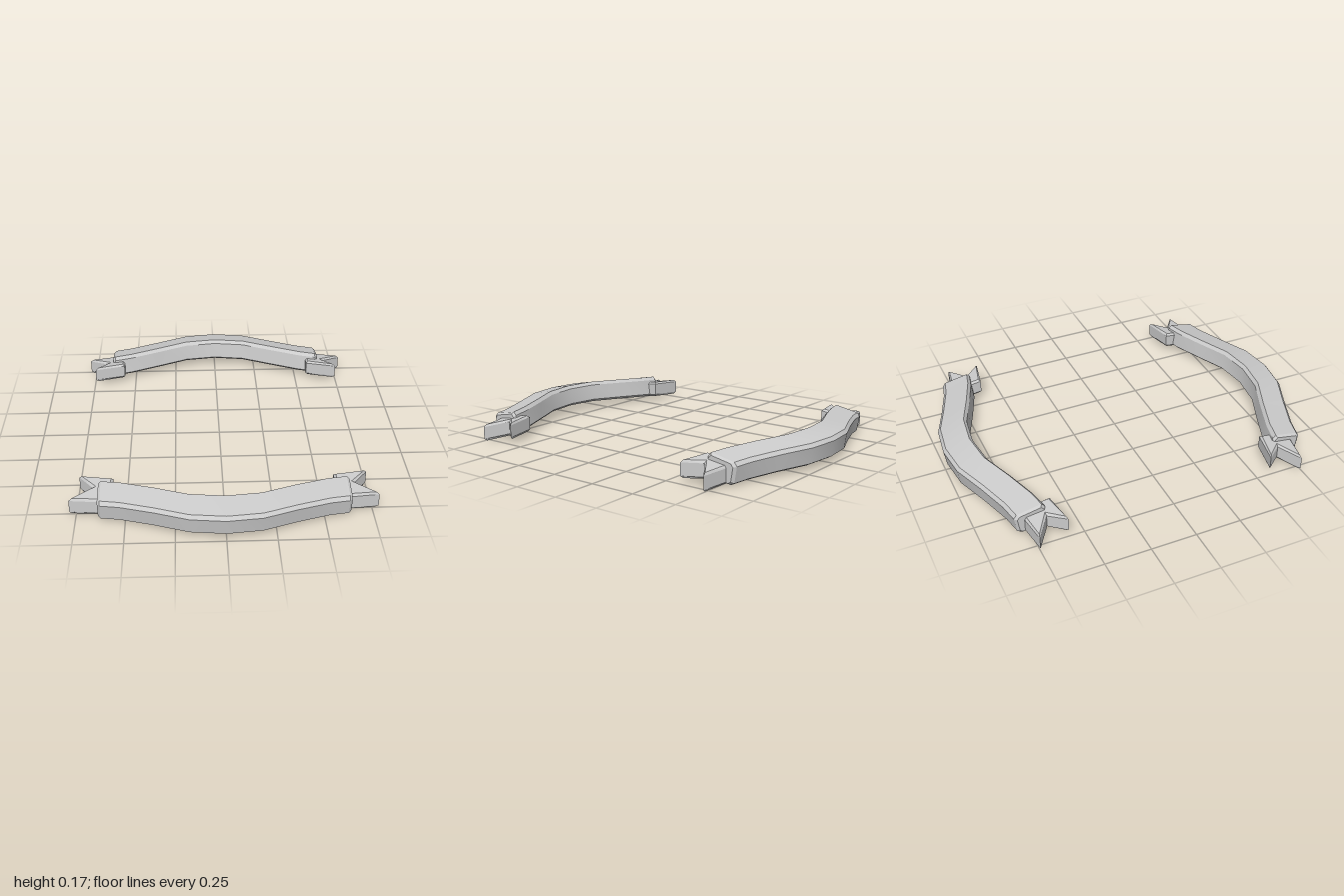
import * as THREE from 'three';
import { toCreasedNormals } from 'three/addons/utils/BufferGeometryUtils.js';

const material = new THREE.MeshStandardMaterial({ color: 0xcccccc });

// Chamfered, outward-tilted cross-section as [z, y], at the middle of the ribbon
const SECTION = [
  [0.985, 0.142], [1.0, 0.122], [0.986, 0.037], [0.967, 0.026],
  [0.84, 0.045], [0.822, 0.06], [0.835, 0.15], [0.852, 0.168],
];
const CENTRE = [0.912, 0.096];

// Half of the sweep: [x, shift in z, drop in y, section scale]
const HALF = [
  [0, 0, 0, 1], [0.18, -0.022, 0.002, 1], [0.355, -0.092, 0.008, 1],
  [0.525, -0.153, 0.016, 1], [0.624, -0.175, 0.021, 1], [0.637, -0.177, 0.022, 0.86],
];

// Wavy band swept through the stations, with chamfered ends
function bandGeometry() {
  const stations = [
    ...HALF.slice(1).reverse().map(([x, ...rest]) => [-x, ...rest]),
    ...HALF,
  ];
  const n = SECTION.length, positions = [], index = [];
  for (const [x, dz, drop, s] of stations) {
    for (const [z, y] of SECTION) {
      positions.push(x, CENTRE[1] + (y - CENTRE[1]) * s - drop, CENTRE[0] + (z - CENTRE[0]) * s + dz);
    }
  }
  for (let i = 0; i < stations.length - 1; i++) {
    for (let k = 0; k < n; k++) {
      const a = i * n + k, b = i * n + (k + 1) % n;
      index.push(a, b, b + n, a, b + n, a + n);
    }
  }
  const last = (stations.length - 1) * n;
  for (let k = 1; k < n - 1; k++) {
    index.push(0, k + 1, k, last, last + k, last + k + 1);
  }
  const g = new THREE.BufferGeometry();
  g.setAttribute('position', new THREE.Float32BufferAttribute(positions, 3));
  g.setIndex(index);
  return toCreasedNormals(g, 0.42);
}

// Swallow-tailed end piece, chamfered and tilted like the band
function tailGeometry(side) {
  const outline = [[0.565, 0.785], [0.785, 0.748], [0.668, 0.668], [0.742, 0.58], [0.565, 0.612]];
  const shape = new THREE.Shape(outline.map(([x, z]) => new THREE.Vector2(side * x, -z)));
  const bevel = 0.012, thickness = 0.092;
  const g = new THREE.ExtrudeGeometry(shape, {
    depth: thickness - 2 * bevel, bevelEnabled: true, bevelSegments: 1,
    bevelThickness: bevel, bevelSize: bevel, bevelOffset: -bevel,
  });
  g.translate(0, 0, bevel).rotateX(-Math.PI / 2);
  const p = g.attributes.position;
  for (let i = 0; i < p.count; i++) {
    const tilt = (0.75 - p.getZ(i)) * 0.14 + (0.785 - Math.abs(p.getX(i))) * 0.07;
    p.setY(i, p.getY(i) + tilt);
  }
  g.computeVertexNormals();
  return g;
}

function makeRibbon(name) {
  const ribbon = new THREE.Group();
  ribbon.name = name;
  const add = (geometry, part) => {
    const mesh = new THREE.Mesh(geometry, material);
    mesh.name = part;
    ribbon.add(mesh);
  };
  add(bandGeometry(), 'band');
  add(tailGeometry(1), 'leftTail');
  add(tailGeometry(-1), 'rightTail');
  return ribbon;
}

export function createModel() {
  const model = new THREE.Group();
  model.name = 'ribbonPair';
  const front = makeRibbon('frontRibbon');
  const back = makeRibbon('backRibbon');
  back.rotation.y = Math.PI;
  model.add(front, back);
  return model;
}
